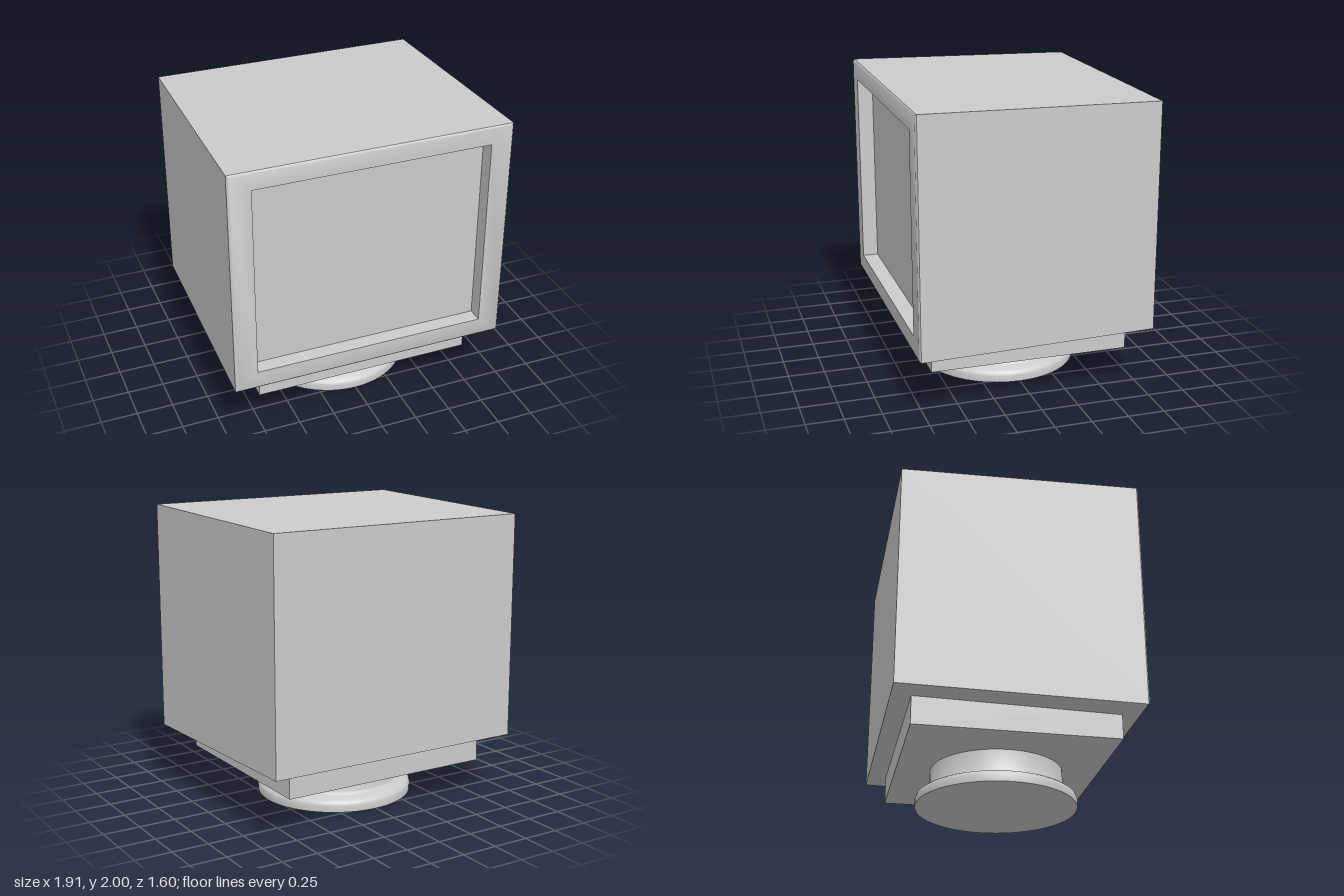
import * as THREE from 'three';
import { toCreasedNormals } from 'three/addons/utils/BufferGeometryUtils.js';

// Rectangular cross-section, counter-clockwise seen from the front
const ring = (halfWidth, bottom, top, z) => [
  [-halfWidth, bottom, z], [halfWidth, bottom, z], [halfWidth, top, z], [-halfWidth, top, z],
];

// Skin a sequence of rectangles; optionally cap the first and last
function skin(rings, capFirst, capLast) {
  const index = [];
  const quad = (a, b, c, d) => index.push(a, b, c, a, c, d);
  for (let r = 0; r < rings.length - 1; r++) {
    for (let i = 0; i < 4; i++) {
      const a = r * 4 + i, b = r * 4 + (i + 1) % 4;
      quad(a, b, b + 4, a + 4);
    }
  }
  if (capFirst) quad(3, 2, 1, 0);
  const e = (rings.length - 1) * 4;
  if (capLast) quad(e, e + 1, e + 2, e + 3);
  const geometry = new THREE.BufferGeometry();
  geometry.setAttribute('position', new THREE.Float32BufferAttribute(rings.flat(2), 3));
  geometry.setIndex(index);
  return toCreasedNormals(geometry, 0.75);
}

export function createModel() {
  const group = new THREE.Group();
  const material = new THREE.MeshStandardMaterial({ color: 0xcccccc });
  const add = (name, geometry) => {
    const mesh = new THREE.Mesh(geometry, material);
    mesh.name = name;
    group.add(mesh);
    return mesh;
  };

  // Housing: tapers to the back, bevelled bezel and recess walls at the front
  add('housing', skin([
    ring(0.925, 0.44, 1.975, -0.8),
    ring(0.953, 0.413, 2.0, 0.785),
    ring(0.94, 0.426, 1.987, 0.797),
    ring(0.8, 0.54, 1.877, 0.797),
    ring(0.8, 0.54, 1.877, 0.69),
  ], true, false));

  // Screen at the bottom of the recess
  add('screen', skin([ring(0.8, 0.54, 1.877, 0.69)], false, true));

  // Square block under the housing
  add('supportBlock', new THREE.BoxGeometry(1.51, 0.2, 1.345)).position.y = 0.35;

  // Round swivel foot with a flared, rounded rim
  const profile = [
    [0, 0], [0.54, 0], [0.542, 0.045], [0.535, 0.065], [0.515, 0.08], [0.475, 0.092],
    [0.452, 0.102], [0.445, 0.115], [0.445, 0.26], [0, 0.26],
  ].map(([x, y]) => new THREE.Vector2(x, y));
  add('swivelBase', toCreasedNormals(new THREE.LatheGeometry(profile, 64), 0.8));

  return group;
}
